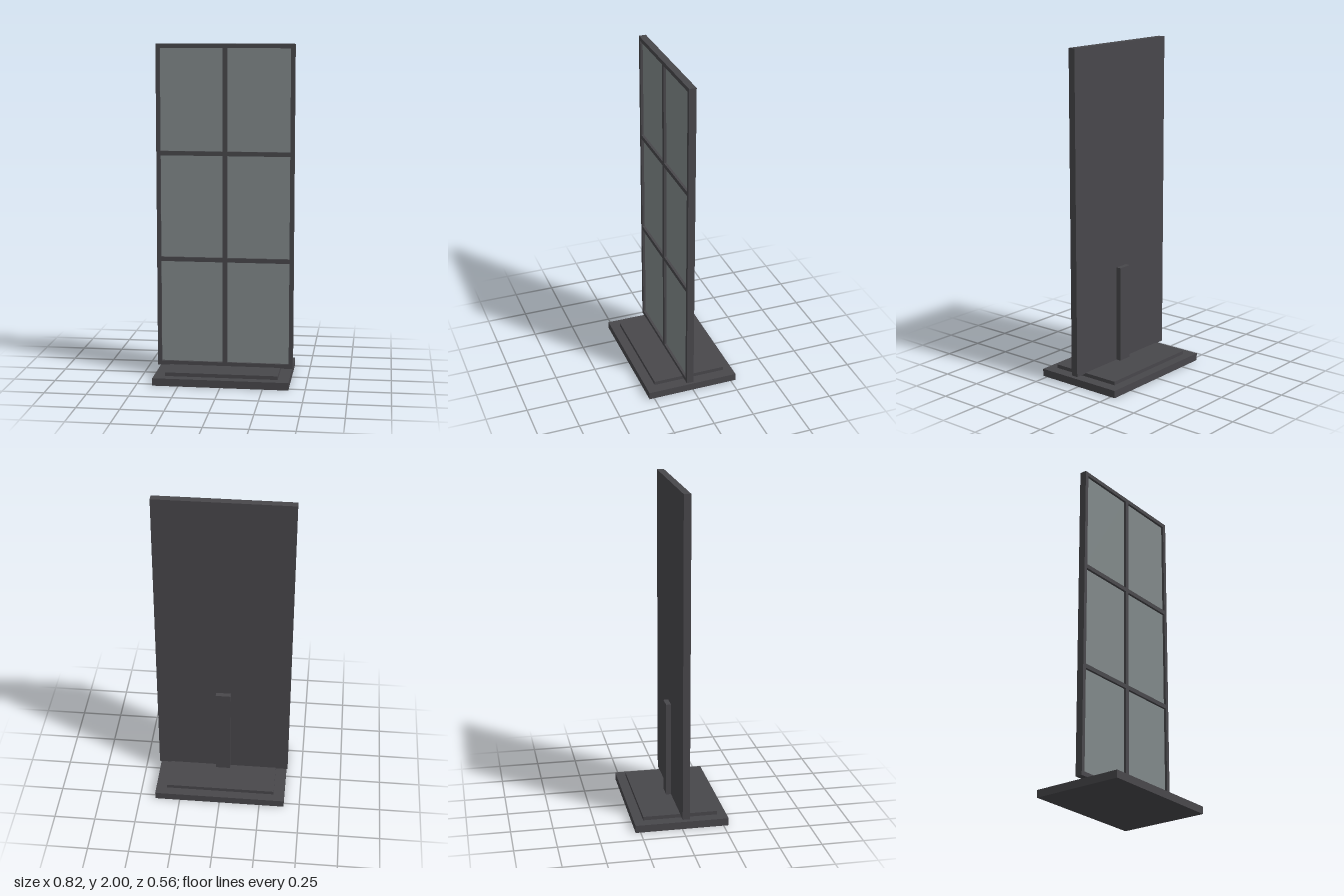
import * as THREE from 'three';

export function createModel() {
  const model = new THREE.Group();
  const frameMat = new THREE.MeshStandardMaterial({ color: 0x48474b });
  frameMat.name = 'charcoal metal';
  const paneMat = new THREE.MeshStandardMaterial({ color: 0x808889 });
  paneMat.name = 'grey pane';

  // Box given by its lower and upper corners
  function box(name, mat, [x0, y0, z0], [x1, y1, z1]) {
    const mesh = new THREE.Mesh(new THREE.BoxGeometry(x1 - x0, y1 - y0, z1 - z0), mat);
    mesh.position.set((x0 + x1) / 2, (y0 + y1) / 2, (z0 + z1) / 2);
    mesh.name = name;
    model.add(mesh);
  }

  // Stepped foot and rear support post
  box('basePlate', frameMat, [-0.403, 0, -0.28], [0.403, 0.045, 0.28]);
  box('upperBasePlate', frameMat, [-0.336, 0.045, -0.223], [0.336, 0.067, 0.223]);
  box('rearPost', frameMat, [-0.045, 0.067, -0.03], [0.045, 0.654, 0]);

  // Backing board, behind the recessed panes
  const W = 0.41, bottom = 0.063, top = 2, front = 0.043, recess = 0.028;
  box('backBoard', frameMat, [-W, bottom, 0], [W, top, 0.023]);

  // Grid frame: one slab with six openings
  const outline = new THREE.Shape([
    new THREE.Vector2(-W, bottom), new THREE.Vector2(W, bottom),
    new THREE.Vector2(W, top), new THREE.Vector2(-W, top),
  ]);
  const columns = [[-0.386, -0.013], [0.013, 0.386]];
  const rows = [[0.089, 0.705], [0.731, 1.343], [1.369, 1.975]];
  for (const [x0, x1] of columns) {
    for (const [y0, y1] of rows) {
      outline.holes.push(new THREE.Path([
        new THREE.Vector2(x0, y0), new THREE.Vector2(x0, y1),
        new THREE.Vector2(x1, y1), new THREE.Vector2(x1, y0),
      ]));
      box('displayPane', paneMat, [x0, y0, 0.023], [x1, y1, recess]);
    }
  }
  const frame = new THREE.Mesh(
    new THREE.ExtrudeGeometry(outline, { depth: front - 0.023, bevelEnabled: false }), frameMat);
  frame.position.z = 0.023;
  frame.name = 'gridFrame';
  model.add(frame);

  return model;
}
